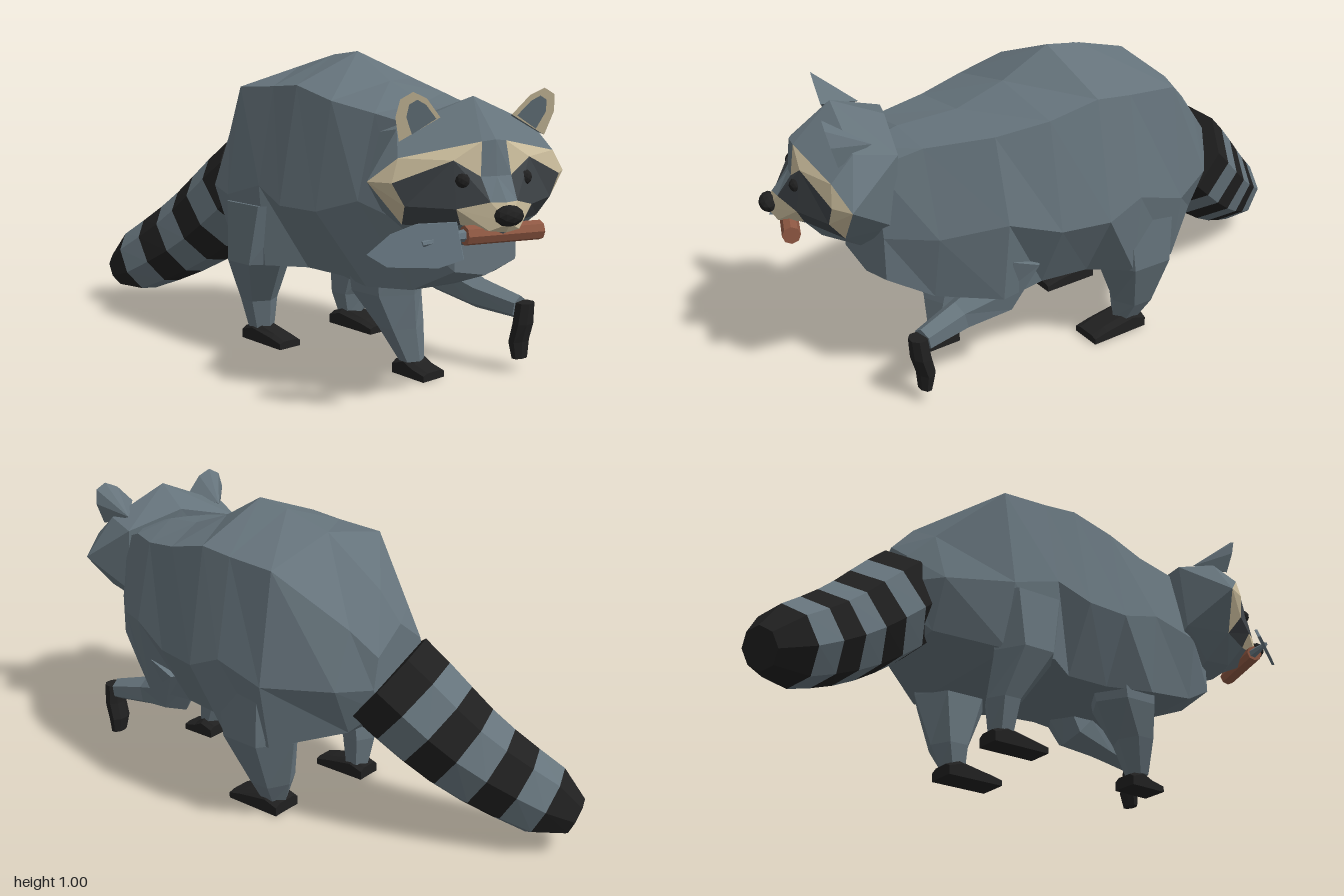
import * as THREE from 'three';

const mat = (name, color) => {
  const m = new THREE.MeshStandardMaterial({ color });
  m.name = name;
  return m;
};

// Triangles (arrays of three Vector3) to a faceted geometry
function facets(tris) {
  const g = new THREE.BufferGeometry().setFromPoints(tris.flat());
  g.computeVertexNormals();
  return g;
}

// Closed solid through a list of equal-sized rings, turned outward by its volume
function loft(rings) {
  const tris = [], n = rings[0].length;
  for (let r = 0; r < rings.length - 1; r++) {
    for (let i = 0; i < n; i++) {
      const j = (i + 1) % n, a = rings[r], b = rings[r + 1];
      tris.push([a[i], a[j], b[j]], [a[i], b[j], b[i]]);
    }
  }
  const a = rings[0], b = rings[rings.length - 1];
  for (let i = 1; i < n - 1; i++) tris.push([a[0], a[i + 1], a[i]], [b[0], b[i], b[i + 1]]);
  const volume = tris.reduce((s, [p, q, t]) => s + p.dot(q.clone().cross(t)), 0);
  return facets(volume < 0 ? tris.map(([p, q, t]) => [p, t, q]) : tris);
}

// Polygons turned to face away from a centre, mirrored in x
function patches(polys, centre) {
  const tris = [];
  for (const side of [1, -1]) {
    for (const poly of polys) {
      const p = poly.map(([x, y, z]) => new THREE.Vector3(x * side, y, z));
      const c = centre.clone();
      c.x *= side;
      for (let i = 1; i < p.length - 1; i++) {
        const t = [p[0], p[i], p[i + 1]];
        const normal = t[1].clone().sub(t[0]).cross(t[2].clone().sub(t[0]));
        const out = t[0].clone().add(t[1]).add(t[2]).divideScalar(3).sub(c);
        tris.push(normal.dot(out) < 0 ? [t[0], t[2], t[1]] : t);
      }
    }
  }
  return facets(tris);
}

// Ring of points around a centre, spanned by two axes
function ring(c, u, v, n) {
  return Array.from({ length: n }, (_, i) => {
    const a = ((i + 0.5) / n) * Math.PI * 2;
    return c.clone().addScaledVector(u, Math.cos(a)).addScaledVector(v, Math.sin(a));
  });
}

// Rings square to a path of [x, y, z, radius]
function tubeRings(path, n) {
  const pts = path.map(([x, y, z]) => new THREE.Vector3(x, y, z));
  return pts.map((p, i) => {
    const t = pts[Math.min(i + 1, pts.length - 1)].clone().sub(pts[Math.max(i - 1, 0)]).normalize();
    const u = new THREE.Vector3(1, 0, 0).addScaledVector(t, -t.x).normalize();
    const v = t.clone().cross(u);
    return ring(p, u.multiplyScalar(path[i][3]), v.multiplyScalar(path[i][3]), n);
  });
}

export function createModel() {
  const model = new THREE.Group();
  model.name = 'raccoon';
  const fur = mat('grey fur', 0x65737b), cream = mat('cream fur', 0xc9bb9b);
  const mask = mat('dark mask', 0x3e4347), black = mat('black', 0x202020);
  const wood = mat('wood', 0x8f5843), steel = mat('steel', 0x6a7a84);
  const add = (name, geometry, material, parent = model) => {
    const m = new THREE.Mesh(geometry, material);
    m.name = name;
    parent.add(m);
    return m;
  };
  const faceted = (g) => {
    const f = g.index ? g.toNonIndexed() : g;
    f.computeVertexNormals();
    return f;
  };

  // Body: z, centre x, top y, shoulder y and half width, middle, lower edge, belly y
  const sections = [
    [0.75, 0.01, 0.78, 0.75, 0.11, 0.53, 0.14, 0.39, 0.14, 0.36],
    [0.62, 0.02, 0.82, 0.80, 0.16, 0.53, 0.235, 0.32, 0.19, 0.31],
    [0.44, 0.07, 0.85, 0.83, 0.22, 0.57, 0.29, 0.30, 0.25, 0.30],
    [0.28, 0.08, 0.91, 0.86, 0.26, 0.52, 0.325, 0.30, 0.21, 0.30],
    [0.12, 0.09, 1.00, 0.90, 0.27, 0.52, 0.345, 0.30, 0.22, 0.30],
    [0.00, 0.095, 0.985, 0.89, 0.27, 0.57, 0.335, 0.30, 0.31, 0.30],
    [-0.17, 0.095, 0.94, 0.88, 0.27, 0.52, 0.33, 0.30, 0.29, 0.30],
    [-0.37, 0.085, 0.79, 0.70, 0.15, 0.52, 0.22, 0.36, 0.15, 0.35],
    [-0.45, 0.085, 0.70, 0.62, 0.11, 0.52, 0.13, 0.44, 0.10, 0.42],
  ];
  add('body', loft(sections.map(([z, cx, top, sy, sw, my, mw, ly, lw, bot]) =>
    [[0, top], [sw, sy], [mw, my], [lw, ly], [0, bot], [-lw, ly], [-mw, my], [-sw, sy]]
      .map(([x, y]) => new THREE.Vector3(cx + x, y, z)))), fur);

  // Tail: seven bands along a drooping curve
  const curve = new THREE.CatmullRomCurve3([
    new THREE.Vector3(0.09, 0.51, -0.41), new THREE.Vector3(0.0, 0.3, -0.66),
    new THREE.Vector3(-0.105, 0.165, -0.87), new THREE.Vector3(-0.15, 0.115, -0.97)]);
  const radii = [0.178, 0.175, 0.168, 0.158, 0.147, 0.135, 0.122, 0.065];
  const tail = tubeRings(radii.map((r, i) => [...curve.getPointAt(i / 7).toArray(), r]), 8);
  for (let i = 0; i < 7; i++) add('tailBand', loft([tail[i], tail[i + 1]]), i % 2 ? fur : black);

  // Standing legs: x, y, z, half width, half depth of each level
  const legs = {
    frontRightLeg: [[-0.06, 0.42, 0.4, 0.12, 0.14], [-0.06, 0.27, 0.41, 0.11, 0.12],
      [-0.045, 0.16, 0.46, 0.08, 0.065], [-0.025, 0.05, 0.49, 0.045, 0.035]],
    backLeftLeg: [[0.3, 0.5, -0.06, 0.13, 0.17], [0.31, 0.3, -0.07, 0.12, 0.14],
      [0.275, 0.12, -0.09, 0.08, 0.07], [0.26, 0.045, -0.08, 0.045, 0.05]],
    backRightLeg: [[-0.14, 0.5, -0.08, 0.12, 0.16], [-0.165, 0.3, -0.09, 0.105, 0.11],
      [-0.125, 0.15, -0.14, 0.065, 0.06], [-0.115, 0.05, -0.14, 0.045, 0.045]],
  };
  for (const [name, levels] of Object.entries(legs)) {
    add(name, loft(levels.map(([x, y, z, w, d]) =>
      ring(new THREE.Vector3(x, y, z), new THREE.Vector3(w, 0, 0), new THREE.Vector3(0, 0, d), 6))), fur);
  }

  // Feet: side profile from heel to toe, carried across the width
  const foot = (name, x, heel, toe, w) => {
    const profile = [[heel, 0.005], [heel, 0.045], [heel + 0.05, 0.065], [toe - 0.05, 0.042], [toe, 0.026], [toe, 0]];
    add(name, loft([[-w, 0.75], [-w * 0.6, 1], [w * 0.6, 1], [w, 0.75]].map(([dx, s]) =>
      profile.map(([z, y]) => new THREE.Vector3(x + dx, y * s, z)))), black);
  };
  foot('frontRightFoot', -0.015, 0.44, 0.575, 0.048);
  foot('backLeftFoot', 0.255, -0.13, 0.08, 0.055);
  foot('backRightFoot', -0.115, -0.19, 0.01, 0.045);

  // Raised front left leg with hanging paw
  add('frontLeftLeg', loft(tubeRings([[0.25, 0.42, 0.36, 0.1], [0.225, 0.27, 0.42, 0.08],
    [0.225, 0.235, 0.55, 0.052], [0.25, 0.21, 0.69, 0.038]], 6)), fur);
  add('frontLeftFoot', loft([[0.228, 0.71, 0.034, 0.03], [0.16, 0.705, 0.042, 0.03],
    [0.1, 0.69, 0.042, 0.028], [0.045, 0.695, 0.032, 0.02]].map(([y, z, w, d]) =>
    ring(new THREE.Vector3(0.256, y, z), new THREE.Vector3(w, 0, 0), new THREE.Vector3(0, 0, d), 8))), black);

  // Head, turned towards its right
  const head = new THREE.Group();
  head.name = 'head';
  head.position.set(-0.09, 0, 0.76);
  head.rotation.y = -0.35;
  model.add(head);

  // Landmarks of one half of the head
  const crown = [0, 0.9, 0.02], stripe = [0, 0.79, 0.15], brow = [0.038, 0.785, 0.14];
  const browOut = [0.25, 0.738, 0.05], tip = [0.32, 0.67, 0], temple = [0.22, 0.81, -0.02];
  const peak = [0.12, 0.735, 0.13], inner = [0.048, 0.69, 0.155], outer = [0.27, 0.67, 0.055];
  const bridge = [0, 0.69, 0.16], snout = [0, 0.625, 0.215], snoutSide = [0.042, 0.625, 0.2];
  const cheek = [0.235, 0.605, 0.065], muzzle = [0.12, 0.603, 0.15], jawOut = [0.22, 0.545, 0.02];
  const lip = [0.095, 0.555, 0.13], front = [0, 0.57, 0.235], chin = [0, 0.542, 0.215];
  const chinSide = [0.047, 0.547, 0.205];
  const jaw = [0.07, 0.49, 0.08], jawMid = [0, 0.49, 0.09], throat = [0.13, 0.47, -0.03];
  const throatMid = [0, 0.46, -0.03], napeMid = [0, 0.84, -0.14], nape = [0.21, 0.79, -0.15];
  const neck = [0.21, 0.56, -0.13], neckMid = [0, 0.52, -0.13];
  const centre = new THREE.Vector3(0, 0.66, 0);
  add('skull', patches([
    [crown, stripe, brow], [crown, brow, temple], [brow, browOut, temple],
    [stripe, bridge, inner, brow], [bridge, snout, snoutSide, inner],
    [crown, temple, nape, napeMid], [temple, browOut, tip], [temple, tip, nape],
    [nape, tip, neck], [tip, jawOut, neck], [napeMid, nape, neck, neckMid],
    [jawOut, lip, jaw], [jawOut, jaw, throat], [jawOut, throat, neck],
    [neck, throat, throatMid, neckMid], [jaw, jawMid, throatMid, throat], [lip, chinSide, chin, jawMid, jaw],
  ], centre), fur, head);
  add('browsAndMuzzle', patches([
    [brow, inner, peak], [brow, peak, browOut], [browOut, peak, outer], [browOut, outer, tip],
    [tip, outer, cheek], [tip, cheek, jawOut],
    [snoutSide, snout, front], [snoutSide, front, muzzle],
    [muzzle, front, chinSide], [front, chin, chinSide], [muzzle, chinSide, lip],
  ], centre), cream, head);
  add('eyeMask', patches([
    [peak, inner, snoutSide], [peak, snoutSide, muzzle], [peak, muzzle, cheek],
    [peak, cheek, outer], [muzzle, lip, jawOut, cheek],
  ], centre), mask, head);

  const nose = add('nose', faceted(new THREE.IcosahedronGeometry(1, 1)), black, head);
  nose.scale.set(0.044, 0.03, 0.03);
  nose.position.set(0, 0.59, 0.228);
  for (const s of [1, -1]) {
    const eye = add('eye', faceted(new THREE.IcosahedronGeometry(0.023, 1)), black, head);
    eye.position.set(0.097 * s, 0.68, 0.142);
  }

  // Ears: cream front leaning forward, grey back and inner plate
  const lean = (points, lift) => points.map(([x, y]) => [x, y, 0.025 + lift + (y - 0.78) * 0.25]);
  const rim = lean([[0.235, 0.78], [0.255, 0.85], [0.247, 0.9], [0.21, 0.92], [0.165, 0.9], [0.115, 0.845]], 0);
  const plate = lean([[0.2, 0.8], [0.224, 0.85], [0.22, 0.885], [0.197, 0.898], [0.168, 0.883], [0.13, 0.842]], 0.005);
  const earCentre = new THREE.Vector3(0.19, 0.85, 0.015);
  add('earRims', patches([rim], earCentre), cream, head);
  add('earBacks', patches(rim.map((p, i) => [p, rim[(i + 1) % 6], [0.18, 0.82, -0.08]]), earCentre), fur, head);
  add('innerEars', patches([plate], earCentre), fur, head);

  // Trowel held in the mouth
  const handle = add('trowelHandle', faceted(new THREE.CylinderGeometry(0.028, 0.028, 0.24, 8)), wood, head);
  handle.rotation.z = Math.PI / 2;
  handle.position.set(0.015, 0.533, 0.172);
  add('trowelShaft', loft(tubeRings([[-0.24, 0.533, 0.885, 0.018], [-0.3, 0.527, 0.86, 0.012],
    [-0.355, 0.515, 0.83, 0.008]], 6)), steel);
  // Blade, its top edge leaning back
  const outline = [[0, 0.48], [0.06, 0.535], [0.13, 0.565], [0.24, 0.575], [0.265, 0.48], [0.2, 0.455], [0.06, 0.45]];
  add('trowelBlade', loft([-0.005, 0.005].map((d) => outline.map(([s, y]) => {
    const out = d + (y - 0.51) * 0.35;
    return new THREE.Vector3(-0.435 + s * 0.56 + out * 0.83, y, 0.7 + s * 0.83 - out * 0.56);
  }))), steel);

  return model;
}
